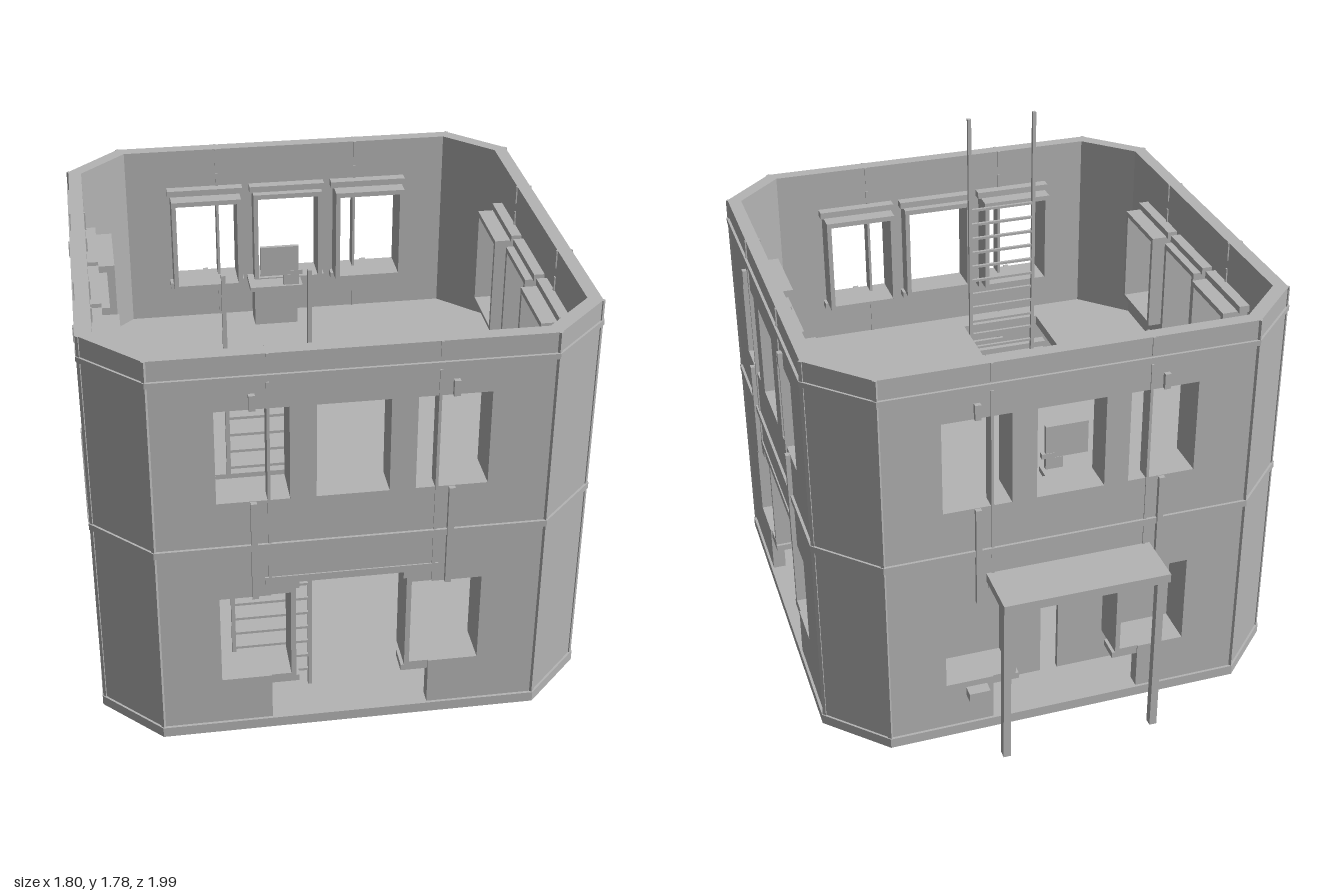
import * as THREE from 'three';

const CZ = 0.09;      // z of the building centre
const OUT = 0.885;    // centre to outer wall face
const THICK = 0.05;
const CUT = 0.68;     // half length of a straight wall
const FLOOR = 0.06, UPPER = 0.82;

const grey = new THREE.MeshStandardMaterial({ color: 0xb4b4b4 });
grey.name = 'plain grey';

function add(parent, name, geometry) {
  const mesh = new THREE.Mesh(geometry, grey);
  mesh.name = name;
  parent.add(mesh);
  return mesh;
}

// Box given by its low and high limits on each axis
function box(parent, name, [x0, x1], [y0, y1], [z0, z1]) {
  const mesh = add(parent, name, new THREE.BoxGeometry(x1 - x0, y1 - y0, z1 - z0));
  mesh.position.set((x0 + x1) / 2, (y0 + y1) / 2, (z0 + z1) / 2);
  return mesh;
}

function poly(points) {
  return points.map(([x, y]) => new THREE.Vector2(x, y));
}

function rect(x0, x1, y0, y1) {
  return poly([[x0, y0], [x1, y0], [x1, y1], [x0, y1]]);
}

function extrude(outline, holes, depth) {
  const shape = new THREE.Shape(outline);
  holes.forEach((h) => shape.holes.push(new THREE.Path(h)));
  return new THREE.ExtrudeGeometry(shape, { depth, bevelEnabled: false });
}

function octagon(d) {
  const c = CUT + (d - OUT) * 0.414;
  return poly([[c, -d], [d, -c], [d, c], [c, d], [-c, d], [-d, c], [-d, -c], [-c, -d]]);
}

// Horizontal eight-sided plate between two heights
function plate(parent, name, d, y0, y1, holes = []) {
  const mesh = add(parent, name, extrude(octagon(d), holes, y1 - y0));
  mesh.rotation.x = -Math.PI / 2;
  mesh.position.y = y0;
  return mesh;
}

// Window lining that projects into the room, with broader ledges above and below
function windowFrame(parent, u, y0, y1, inner) {
  const g = new THREE.Group();
  g.name = 'windowFrame';
  const lining = add(g, 'lining', extrude(
    rect(-0.143, 0.143, y0 - 0.015, y1 + 0.02), [rect(-0.125, 0.125, y0, y1)], 0.88 - inner));
  lining.position.z = inner;
  box(g, 'lowerLedge', [-0.155, 0.155], [y0 - 0.037, y0 - 0.012], [0.795, 0.88]);
  box(g, 'upperLedge', [-0.155, 0.155], [y1 + 0.018, y1 + 0.045], [0.795, 0.88]);
  g.position.x = u;
  parent.add(g);
}

// One straight wall, built facing +z about the building centre
function buildWall() {
  const g = new THREE.Group();
  const opening = poly([
    [-0.285, FLOOR], [0.285, FLOOR], [0.285, 0.25], [0.465, 0.25], [0.465, 0.61], [0.285, 0.61],
    [0.285, 0.66], [-0.285, 0.66], [-0.285, 0.61], [-0.465, 0.61], [-0.465, 0.25], [-0.285, 0.25],
  ]);
  const uppers = [-0.34, 0, 0.34].map((u) => rect(u - 0.125, u + 0.125, 1.01, 1.37));
  const panel = add(g, 'wallPanel', extrude(rect(-CUT, CUT, 0.02, 1.575), [opening, ...uppers], THICK));
  panel.position.z = OUT - THICK;

  for (const u of [-0.34, 0, 0.34]) windowFrame(g, u, 1.01, 1.37, u ? 0.735 : 0.765);
  for (const s of [-1, 1]) {
    windowFrame(g, s * 0.34, 0.25, 0.61, 0.735);
    // Raised ribs between the window rows and above them
    const r = [s * 0.34 - 0.011, s * 0.34 + 0.011];
    box(g, 'rib', r, [0.612, 1.008], [0.87, 0.902]);
    box(g, 'rib', r, [1.372, 1.43], [0.87, 0.902]);
    // Panel joints
    const j = [s * 0.287 - 0.005, s * 0.287 + 0.005];
    box(g, 'panelJoint', j, [0.66, 1.47], [0.83, 0.89]);
    box(g, 'panelJoint', j, [1.505, 1.575], [0.83, 0.89]);
    box(g, 'lowerJoint', j, [0.02, FLOOR], [0.86, 0.89]);
  }
  box(g, 'lintel', [-0.305, 0.305], [0.662, 0.69], [0.82, 0.89]);
  return g;
}

export function createModel() {
  const model = new THREE.Group();
  model.name = 'openTopBuilding';
  const house = new THREE.Group();
  house.name = 'house';
  house.position.z = CZ;
  model.add(house);

  // Straight walls and cut corners
  for (let i = 0; i < 4; i++) {
    const wall = buildWall();
    wall.name = ['frontWall', 'leftWall', 'backWall', 'rightWall'][i];
    wall.rotation.y = i * Math.PI / 2;
    house.add(wall);

    const corner = new THREE.Group();
    corner.name = 'cornerWall';
    corner.rotation.y = (i + 0.5) * Math.PI / 2;
    const d = (OUT + CUT) / Math.SQRT2;
    box(corner, 'cornerPanel', [-0.142, 0.142], [0.02, 1.575], [d - THICK, d + 0.002]);
    for (const s of [-1, 1]) {
      const e = s * 0.142;
      box(corner, 'cornerStrip', [e - 0.007, e + 0.007], [0.02, 1.575], [d - 0.045, d + 0.006]);
    }
    house.add(corner);
  }

  // Bands, base and floors
  plate(house, 'baseSlab', 0.865, 0, 0.025);
  plate(house, 'groundFloor', 0.85, 0.02, FLOOR);
  for (const [name, y0, y1, hole] of [
    ['baseBand', 0.02, FLOOR, 0.84], ['middleBand', 0.81, 0.835, 0.86], ['topBand', 1.48, 1.5, 0.86],
  ]) plate(house, name, 0.895, y0, y1, [octagon(hole)]);
  // The hatch is cut in plan, where shape y is minus z
  plate(house, 'upperFloor', 0.85, 0.78, UPPER, [rect(-0.43, -0.1, CZ - 0.83, CZ - 0.51)]);

  // Ladder through the hatch
  const ladder = new THREE.Group();
  ladder.name = 'ladder';
  for (const x of [-0.405, -0.125]) box(ladder, 'rail', [x - 0.007, x + 0.007], [FLOOR, 1.78], [0.802, 0.818]);
  for (let y = 0.13; y < 1.4; y += 0.0655) {
    box(ladder, 'rung', [-0.405, -0.125], [y - 0.005, y + 0.005], [0.804, 0.816]);
  }
  model.add(ladder);

  // Back porch
  const porch = new THREE.Group();
  porch.name = 'backPorch';
  box(porch, 'porchRoof', [-0.31, 0.31], [0.69, 0.725], [-1, -0.79]);
  for (const x of [-0.288, 0.288]) box(porch, 'porchPost', [x - 0.014, x + 0.014], [0.01, 0.69], [-0.97, -0.94]);
  box(porch, 'porchBox', [0.31, 0.39], [0.19, 0.225], [-0.84, -0.78]);
  model.add(porch);

  // Ground floor contents
  const ground = new THREE.Group();
  ground.name = 'groundFurniture';
  const post = add(ground, 'roundPost', new THREE.CylinderGeometry(0.03, 0.03, 0.22, 24));
  post.position.set(0, 0.17, 0.1);
  box(ground, 'counter', [0.105, 0.6], [FLOOR, 0.37], [-0.19, -0.02]);
  for (const [x0, x1] of [[-0.55, -0.035], [0.035, 0.55]]) {
    box(ground, 'partition', [x0, x1], [FLOOR, 0.78], [-0.6, -0.58]);
  }
  box(ground, 'bench', [-0.7, -0.5], [FLOOR, 0.235], [0.24, 0.42]);
  box(ground, 'benchTop', [-0.71, -0.49], [0.24, 0.255], [0.22, 0.42]);
  box(ground, 'benchBack', [-0.7, -0.5], [0.27, 0.37], [0.232, 0.242]);
  model.add(ground);

  // Upper floor contents
  const upper = new THREE.Group();
  upper.name = 'upperFurniture';
  box(upper, 'deskTop', [-0.17, 0.05], [0.985, 1.005], [-0.73, -0.6]);
  box(upper, 'deskBase', [-0.15, 0.03], [UPPER, 0.985], [-0.72, -0.62]);
  box(upper, 'screenStand', [-0.03, 0.035], [1.005, 1.05], [-0.63, -0.61]);
  box(upper, 'screen', [-0.125, 0.035], [1.05, 1.18], [-0.628, -0.612]);
  box(upper, 'screenShelf', [0, 0.05], [1.05, 1.07], [-0.63, -0.61]);
  box(upper, 'console', [0.69, 0.83], [UPPER, 0.97], [-0.01, 0.38]);
  model.add(upper);

  return model;
}
